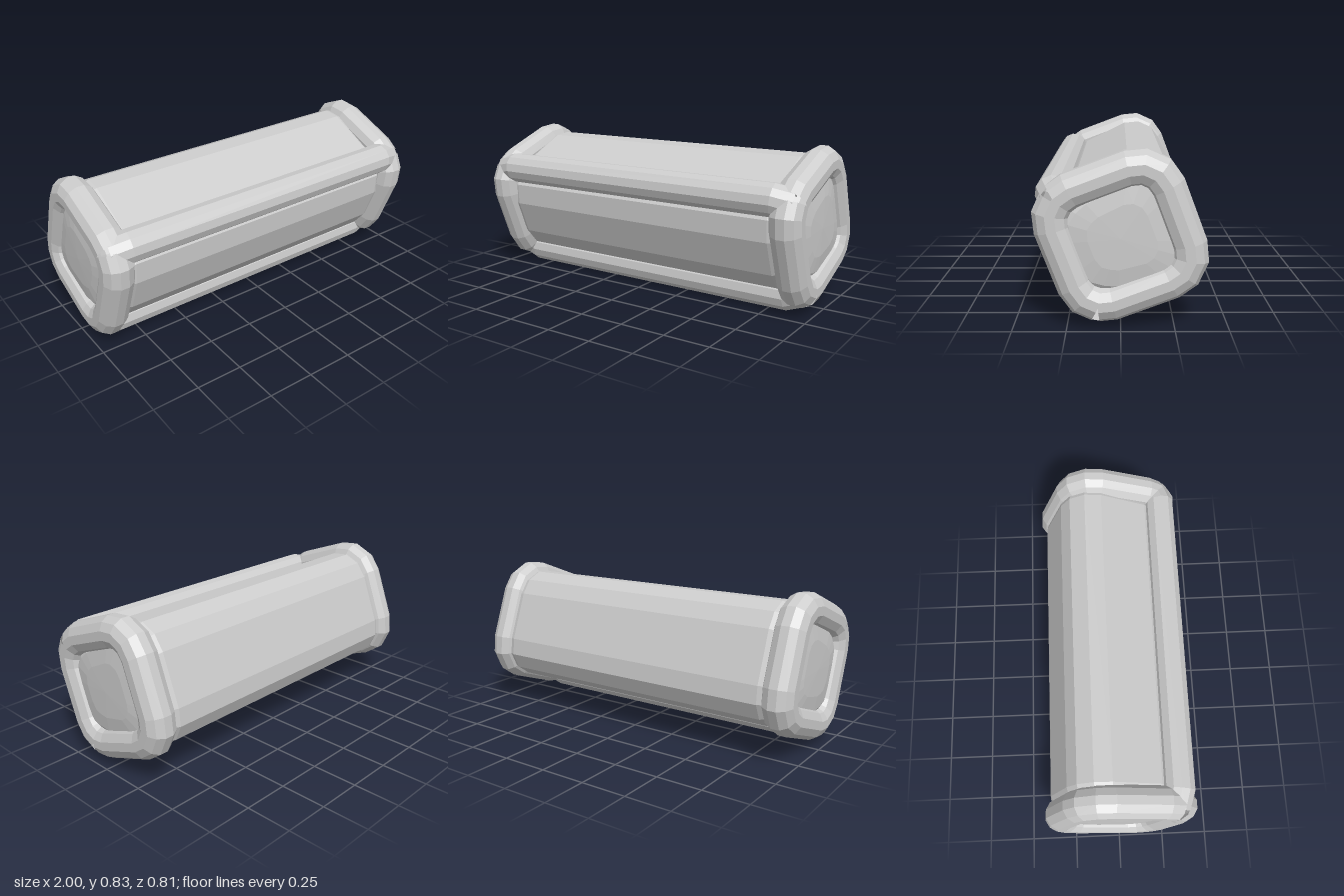
import * as THREE from 'three';

const SIDES = 12;
const material = new THREE.MeshStandardMaterial({ color: 0xcccccc, flatShading: true, side: THREE.DoubleSide });

// Rounded square outline as [front, up] points, three facets per corner
function roundedSquare(straight, radius) {
  const points = [];
  for (let k = 0; k < 4; k++) {
    const cf = k === 0 || k === 3 ? straight : -straight;
    const cu = k < 2 ? straight : -straight;
    for (let j = 0; j < 4; j++) {
      const a = (k * 3 + j) * Math.PI / 6;
      points.push([cf + radius * Math.cos(a), cu + radius * Math.sin(a)]);
    }
  }
  return points;
}

// Faceted surface joining a row of equal-sized loops
function skin(rings) {
  const corners = [];
  const count = rings[0].length;
  for (let i = 0; i < rings.length - 1; i++) {
    for (let j = 0; j < count; j++) {
      const k = (j + 1) % count;
      const [a, b, c, d] = [rings[i][j], rings[i][k], rings[i + 1][k], rings[i + 1][j]];
      corners.push(a, b, d, b, c, d);
    }
  }
  const geometry = new THREE.BufferGeometry().setFromPoints(corners);
  geometry.computeVertexNormals();
  return geometry;
}

// Open tube along a flat path, mitred at its bends
function sweep(path, normal, radius) {
  return skin(path.map((p, i) => {
    const before = path[Math.max(i - 1, 0)];
    const after = path[Math.min(i + 1, path.length - 1)];
    const dirIn = p.clone().sub(before).normalize();
    const dirOut = after.clone().sub(p).normalize();
    const tangent = dirIn.clone().add(dirOut).normalize();
    const miter = 1 / tangent.dot(i === 0 ? dirOut : dirIn);
    const side = tangent.clone().cross(normal).multiplyScalar(miter);
    return Array.from({ length: SIDES }, (_, j) => {
      const a = (j + 0.5) * 2 * Math.PI / SIDES;
      return p.clone()
        .addScaledVector(normal, radius * Math.cos(a))
        .addScaledVector(side, radius * Math.sin(a));
    });
  }));
}

function addMesh(parent, name, geometry) {
  const mesh = new THREE.Mesh(geometry, material);
  mesh.name = name;
  parent.add(mesh);
}

export function createModel() {
  const model = new THREE.Group();
  model.name = 'pipedBolster';
  const bolster = new THREE.Group();
  bolster.name = 'tiltedBolster';
  bolster.rotation.x = 0.361;
  bolster.position.y = 0.43;
  model.add(bolster);

  // Body: full rounded back, front corners pulled in to the piping seams, bulging ends
  const back = roundedSquare(0.14, 0.183).slice(4, 12).map(([f, u]) => [f - 0.012, u - 0.008]);
  const outline = [
    [0.32, -0.105], [0.32, 0.09], [0.285, 0.2], [0.215, 0.255], [0.13, 0.288],
    ...back,
    [0.13, -0.3], [0.215, -0.26], [0.285, -0.21],
  ];
  const halfStages = [[0.975, 0], [0.972, 0.45], [0.96, 0.7], [0.93, 0.85], [0.88, 0.95], [0.82, 1]];
  const stages = [...halfStages, ...halfStages.map(([x, s]) => [-x, s]).reverse()];
  addMesh(bolster, 'body', skin(stages.map(([x, s]) =>
    outline.map(([f, u]) => new THREE.Vector3(x, u * s, f * s)))));

  // End rims: each has a front and a back piece meeting at the front corners
  const rimX = 0.915, rimRadius = 0.088;
  const rim = roundedSquare(0.141, 0.138);
  const xAxis = new THREE.Vector3(1, 0, 0);
  const pieces = { Back: [2, 11], Front: [13, 5] };
  for (const [end, sign] of [['left', 1], ['right', -1]]) {
    for (const [piece, [start, count]] of Object.entries(pieces)) {
      const path = [];
      for (let i = 0; i <= count; i++) {
        const [f, u] = rim[(start + i) % rim.length];
        path.push(new THREE.Vector3(sign * rimX, u, f));
      }
      addMesh(bolster, `${end}Rim${piece}`, sweep(path, xAxis, rimRadius));
    }
  }

  // Front piping: long tubes that bend inward to meet the rims
  for (const [name, sign] of [['topPiping', 1], ['bottomPiping', -1]]) {
    const path = [[-0.93, 0.255, 0.208], [-0.84, 0.283, 0.225], [0.84, 0.283, 0.225], [0.93, 0.255, 0.208]]
      .map(([x, u, f]) => new THREE.Vector3(x, sign * u, f));
    const normal = path[0].clone().sub(path[1]).cross(xAxis).normalize();
    addMesh(bolster, name, sweep(path, normal, 0.086));
  }
  return model;
}
